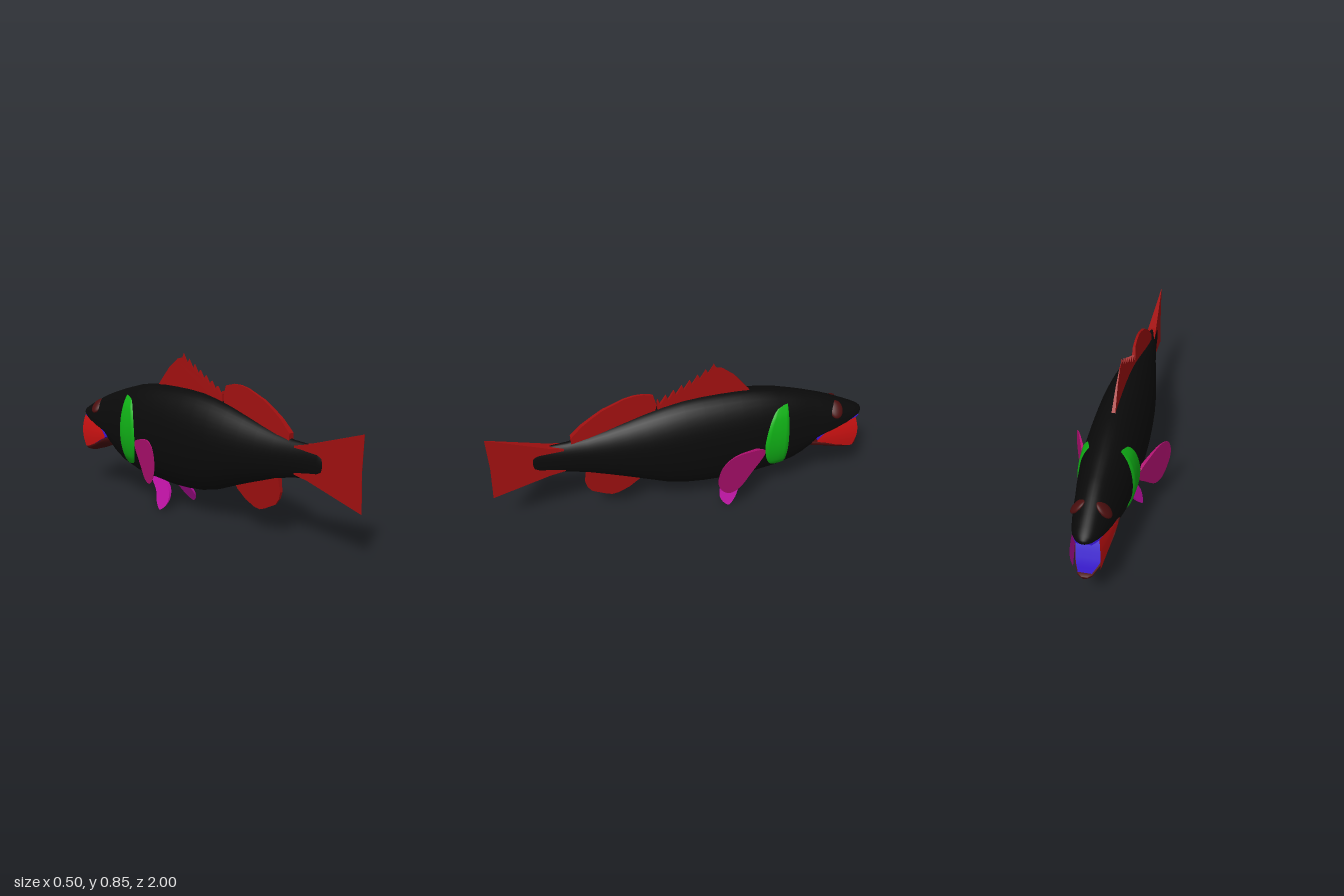
import * as THREE from 'three';

const mat = (name, color, side = THREE.FrontSide) => {
  const m = new THREE.MeshStandardMaterial({ color, side });
  m.name = name;
  return m;
};

// Cross-sections: [z, top, bottom, half width, height of the widest point]
const BODY = [
  [-1.0, 0.44, 0.415, 0.02, 0.425], [-0.985, 0.453, 0.407, 0.04, 0.423], [-0.95, 0.472, 0.4, 0.06, 0.415],
  [-0.9, 0.498, 0.385, 0.077, 0.4], [-0.82, 0.537, 0.362, 0.094, 0.38], [-0.76, 0.562, 0.345, 0.104, 0.37],
  [-0.73, 0.573, 0.315, 0.108, 0.37], [-0.7, 0.583, 0.26, 0.112, 0.37], [-0.65, 0.6, 0.212, 0.12, 0.375],
  [-0.6, 0.615, 0.182, 0.126, 0.38], [-0.5, 0.643, 0.152, 0.135, 0.39], [-0.4, 0.66, 0.136, 0.139, 0.395],
  [-0.3, 0.667, 0.128, 0.141, 0.395], [-0.2, 0.668, 0.125, 0.141, 0.395], [-0.1, 0.666, 0.128, 0.139, 0.395],
  [0, 0.658, 0.138, 0.134, 0.395], [0.1, 0.64, 0.162, 0.126, 0.4], [0.2, 0.615, 0.2, 0.113, 0.405],
  [0.3, 0.585, 0.236, 0.095, 0.41], [0.4, 0.555, 0.27, 0.076, 0.412], [0.5, 0.528, 0.302, 0.057, 0.415],
  [0.6, 0.51, 0.326, 0.041, 0.418], [0.7, 0.504, 0.337, 0.028, 0.42], [0.75, 0.497, 0.343, 0.023, 0.42],
  [0.775, 0.48, 0.36, 0.02, 0.42], [0.785, 0.455, 0.385, 0.014, 0.42],
];
const JAW = [
  [-1.0, 0.213, 0.2, 0.015, 0.21], [-0.985, 0.22, 0.193, 0.035, 0.212], [-0.93, 0.232, 0.197, 0.06, 0.225],
  [-0.85, 0.262, 0.222, 0.081, 0.255], [-0.78, 0.298, 0.25, 0.096, 0.287], [-0.7, 0.33, 0.268, 0.104, 0.32],
];

// Section values at any z, linear between neighbours
function sectionAt(list, z) {
  let i = 1;
  while (i < list.length - 1 && list[i][0] < z) i++;
  const a = list[i - 1], b = list[i];
  const t = THREE.MathUtils.clamp((z - a[0]) / (b[0] - a[0]), 0, 1);
  return a.map((v, k) => v + (b[k] - v) * t);
}

function makeGeometry(pos, idx) {
  const g = new THREE.BufferGeometry();
  g.setAttribute('position', new THREE.Float32BufferAttribute(pos, 3));
  g.setIndex(idx);
  g.computeVertexNormals();
  return g;
}

// Closed loft of egg-shaped rings along z
function loft(list, n = 40) {
  const pos = [], idx = [];
  list.forEach(([z, top, bot, w, mid]) => {
    for (let j = 0; j < n; j++) {
      const a = (j / n) * Math.PI * 2, s = Math.sin(a);
      pos.push(w * Math.cos(a), mid + s * (s > 0 ? top - mid : mid - bot), z);
    }
  });
  const last = list.length - 1, c = list.length * n;
  for (const e of [list[0], list[last]]) pos.push(0, e[4], e[0]);
  for (let j = 0; j < n; j++) {
    const k = (j + 1) % n;
    for (let i = 0; i < last; i++) {
      const a = i * n + j, b = i * n + k;
      idx.push(a, b, a + n, b, b + n, a + n);
    }
    idx.push(c, k, j, c + 1, last * n + j, last * n + k);
  }
  return makeGeometry(pos, idx);
}

// Grid surface from a rule f(u, v) -> [x, y, z]
function sheet(f, nu, nv, flip = false) {
  const pos = [], idx = [];
  for (let i = 0; i <= nu; i++) for (let j = 0; j <= nv; j++) pos.push(...f(i / nu, j / nv));
  for (let i = 0; i < nu; i++) for (let j = 0; j < nv; j++) {
    const a = i * (nv + 1) + j, b = a + 1, c = a + nv + 1, d = c + 1;
    if (flip) idx.push(a, c, b, b, c, d);
    else idx.push(a, b, c, b, d, c);
  }
  return makeGeometry(pos, idx);
}

// Wedge-shaped fin from a (z, y) outline; half(z, y) is half its thickness, lean(z, y) its x offset
function fin(points, half, { lean = () => 0, smooth = false } = {}) {
  let pts = points.map(([z, y]) => new THREE.Vector3(z, y, 0));
  if (smooth) pts = new THREE.CatmullRomCurve3(pts, true).getPoints(48).slice(0, -1);
  const shape = new THREE.Shape(pts.map((p) => new THREE.Vector2(p.x, p.y)));
  const g = new THREE.ExtrudeGeometry(shape, { depth: 1, bevelEnabled: false });
  const p = g.attributes.position;
  for (let i = 0; i < p.count; i++) {
    const z = p.getX(i), y = p.getY(i), side = 1 - 2 * p.getZ(i);
    p.setXYZ(i, lean(z, y) + side * Math.max(half(z, y), 0.0008), y, z);
  }
  g.computeVertexNormals();
  return g;
}

export function createModel() {
  const group = new THREE.Group();
  group.name = 'fish';
  const black = mat('black skin', 0x0a0a0a);
  const red = mat('fin red', 0xa01010);
  const scarlet = mat('cheek red', 0xd01212);
  const green = mat('green band', 0x10b016, THREE.DoubleSide);
  const magenta = mat('pectoral magenta', 0xb01070);
  const violet = mat('pelvic violet', 0xba10a0);
  const blue = mat('mouth blue', 0x3210c4, THREE.DoubleSide);
  const maroon = mat('dark maroon', 0x4a0e0e);
  const add = (name, geometry, material) => {
    const m = new THREE.Mesh(geometry, material);
    m.name = name;
    group.add(m);
    return m;
  };

  add('body', loft(BODY), black);
  add('lowerJaw', loft(JAW), maroon);

  // Mouth lining under the snout and on top of the jaw
  const lining = (list, k, gap) => sheet((u, v) => {
    const z = -0.985 + u * 0.25, s = sectionAt(list, z);
    return [(v * 2 - 1) * s[3] * 0.93, s[k] + gap, z];
  }, 10, 4);
  add('palate', lining(BODY, 2, -0.004), blue);
  add('mouthFloor', lining(JAW, 1, 0.004), blue);

  // Tail, back and belly fins
  add('tailFin', fin([[0.62, 0.49], [0.7, 0.507], [1, 0.602], [0.993, 0.42], [1, 0.23], [0.7, 0.332], [0.62, 0.35]],
    (z) => 0.022 * (1 - z) / 0.3), red);

  const spiny = [[0.13, 0.6], [0.13, 0.67]];
  for (let i = 0; i < 8; i++) {
    const z = 0.125 - i * 0.0415, y = 0.685 + 0.165 * Math.pow(i / 7, 1.1);
    spiny.push([z, y], [z - 0.012, y - 0.028 + i * 0.0005]);
  }
  spiny.push([-0.215, 0.815], [-0.225, 0.805], [-0.275, 0.765], [-0.32, 0.71], [-0.36, 0.66], [-0.34, 0.6]);
  const backThickness = (z, y) => 0.01 * (0.85 - y) / 0.2;
  add('spinyDorsalFin', fin(spiny, backThickness), red);

  add('softDorsalFin', fin([[0.58, 0.5], [0.58, 0.54], [0.52, 0.6], [0.46, 0.643], [0.41, 0.675], [0.3, 0.72], [0.25, 0.73],
    [0.2, 0.73], [0.15, 0.717], [0.135, 0.66], [0.15, 0.58]], backThickness), red);

  add('analFin', fin([[0.2, 0.25], [0.235, 0.195], [0.29, 0.15], [0.35, 0.122], [0.385, 0.117], [0.42, 0.13], [0.49, 0.165],
    [0.515, 0.2], [0.524, 0.235], [0.51, 0.32]], (z, y) => 0.01 * (y - 0.1) / 0.15), red);

  for (const s of [1, -1]) {
    const side = s > 0 ? 'left' : 'right';

    add(side + 'PectoralFin', fin([[-0.42, 0.35], [-0.31, 0.388], [-0.22, 0.398], [-0.155, 0.37], [-0.127, 0.29],
      [-0.15, 0.22], [-0.205, 0.172], [-0.265, 0.178], [-0.34, 0.245], [-0.415, 0.32]],
    (z) => 0.011 * (-0.13 - z) / 0.28, { lean: (z) => s * (0.133 + (z + 0.4) * 0.425), smooth: true }), magenta);

    add(side + 'PelvicFin', fin([[-0.36, 0.15], [-0.26, 0.145], [-0.2, 0.1], [-0.188, 0.045], [-0.23, 0.004],
      [-0.268, 0.035], [-0.3, 0.09]],
    (z, y) => 0.013 * y / 0.15, { lean: (z, y) => s * (0.052 + (0.145 - y) * 0.52), smooth: true }), violet);

    // Crescent band lying on the body behind the gills
    add(side + 'GillBand', sheet((u, v) => {
      const y = 0.2 + u * 0.387;
      const bulge = Math.pow(Math.max(1 - (u * 2 - 1) ** 2, 0), 0.4);
      const z = -0.548 + v * (0.02 + 0.112 * bulge) * (u > 0.5 ? 1 - 0.25 * (u - 0.5) : 1);
      const [, top, bot, w, mid] = sectionAt(BODY, z);
      const r = (y - mid) / (y > mid ? top - mid : mid - bot);
      const edge = Math.min(1, 8 * Math.min(v, 1 - v, u, 1 - u));
      return [s * (w * Math.sqrt(Math.max(0, 1 - r * r)) + 0.002 + 0.007 * edge), y, z];
    }, 32, 16, s < 0), green);

    // Cheek skin stretched between the jaws, red outside and violet inside
    const cheek = (inset) => (u, v) => {
      const z = -0.73 - u * (0.225 + 0.018 * Math.sin(Math.PI * v));
      const lo = sectionAt(JAW, z)[1] - 0.004, hi = sectionAt(BODY, z)[2] + 0.012;
      const x = 0.1 - 0.036 * u + 0.008 * Math.sin(Math.PI * v) * u - inset;
      return [s * x, lo + (hi - lo) * v, z];
    };
    add(side + 'Cheek', sheet(cheek(0), 10, 8, s > 0), scarlet);
    add(side + 'CheekLining', sheet(cheek(0.002), 10, 8, s < 0), violet);

    const eye = add(side + 'Eye', new THREE.SphereGeometry(1, 24, 16), maroon);
    eye.scale.set(0.017, 0.05, 0.037);
    eye.rotation.z = s * 0.75;
    eye.position.set(s * 0.06, 0.483, -0.835);
  }
  return group;
}
